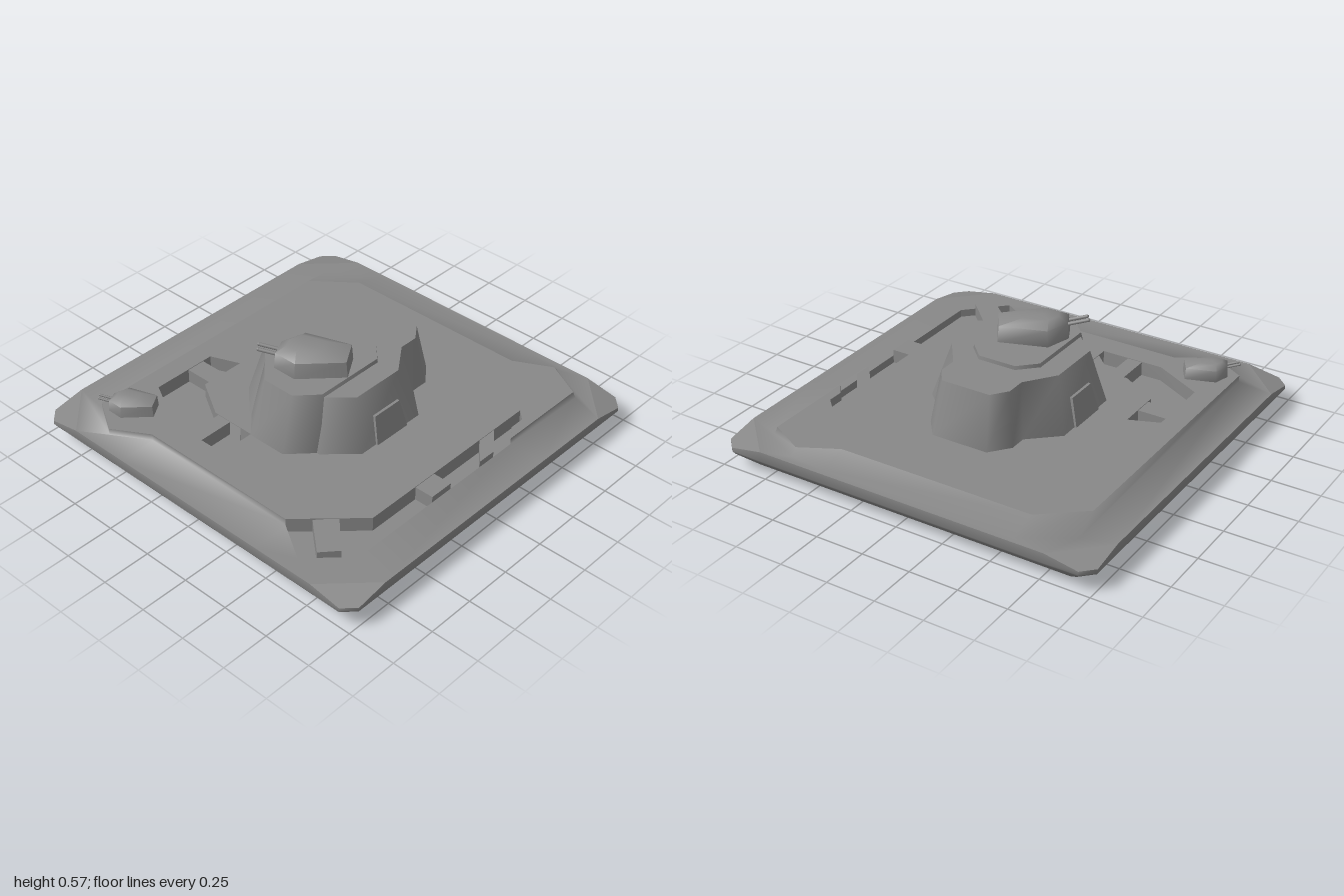
import * as THREE from 'three';
import { toCreasedNormals } from 'three/addons/utils/BufferGeometryUtils.js';

const grey = new THREE.MeshStandardMaterial({ color: 0x888888 });
const greyOpen = new THREE.MeshStandardMaterial({ color: 0x888888, side: THREE.DoubleSide });

const at = (pts, y) => pts.map(([x, z]) => [x, y, z]);
const flat = pts => pts.map(([x, , z]) => [x, z]);
const mirrorX = half => [...half, ...half.map(([x, z]) => [-x, z]).reverse()];

// Triangle soup to geometry, smooth below the crease angle
function solid(tris, crease) {
  const g = new THREE.BufferGeometry();
  g.setAttribute('position', new THREE.Float32BufferAttribute(tris.flat(), 3));
  return toCreasedNormals(g, THREE.MathUtils.degToRad(crease));
}

// Skin through matching [x, y, z] rings from low to high, optionally capped on top
function loft(rings, { top = true, crease = 35 } = {}) {
  const n = rings[0].length;
  let area = 0;
  rings[0].forEach(([x, , z], i) => {
    const b = rings[0][(i + 1) % n];
    area += b[0] * z - x * b[2];
  });
  const rs = area < 0 ? rings.map(r => [...r].reverse()) : rings;
  const tris = [];
  for (let k = 0; k + 1 < rs.length; k++) {
    for (let i = 0; i < n; i++) {
      const j = (i + 1) % n;
      tris.push(rs[k][i], rs[k][j], rs[k + 1][j], rs[k][i], rs[k + 1][j], rs[k + 1][i]);
    }
  }
  if (top) {
    const r = rs[rs.length - 1];
    const c = [0, 1, 2].map(a => r.reduce((s, p) => s + p[a], 0) / n);
    r.forEach((p, i) => tris.push(c, p, r[(i + 1) % n]));
  }
  return solid(tris, crease);
}

// Flat upward-facing sheet with holes, outline given as [x, z]
function sheet(outline, y, holes = []) {
  const v = pts => pts.map(([x, z]) => new THREE.Vector2(x, -z));
  const s = new THREE.Shape(v(outline));
  s.holes = holes.map(h => new THREE.Path(v(h)));
  return new THREE.ShapeGeometry(s).rotateX(-Math.PI / 2).translate(0, y, 0);
}

function add(parent, name, geo, mat = grey) {
  const m = new THREE.Mesh(geo, mat);
  m.name = name;
  parent.add(m);
}

// Faceted gun house with twin barrels, standing on its own origin
function gunTurret(name) {
  const g = new THREE.Group();
  g.name = name;
  const plan = [[-0.13, -0.07], [0.1, -0.15], [0.18, -0.025], [0.01, 0.15], [-0.12, 0.15], [-0.165, 0.06]];
  const scaled = (s, y, dx = 0, dz = 0) => at(plan.map(([x, z]) => [x * s + dx, z * s + dz]), y);
  add(g, 'gunHouse', loft([scaled(1.02, 0), scaled(0.98, 0.085), scaled(0.5, 0.114, -0.035, 0.02)], { crease: 62 }));
  for (const side of [-1, 1]) {
    const ox = side * 0.013, oz = side * 0.016;
    const path = new THREE.LineCurve3(
      new THREE.Vector3(-0.09 + ox, 0.052, 0.075 + oz),
      new THREE.Vector3(-0.215 + ox, 0.082, 0.16 + oz));
    add(g, 'barrel', new THREE.TubeGeometry(path, 1, 0.009, 8), greyOpen);
    add(g, 'muzzle', new THREE.SphereGeometry(0.0095, 8, 6).translate(-0.215 + ox, 0.082, 0.16 + oz));
  }
  return g;
}

export function createModel() {
  const model = new THREE.Group();
  model.name = 'bunkerBase';
  const floorY = 0.1, groundY = 0.14, deckY = 0.175;

  // Foundation slab: cut corners that dip below the straight edges
  const rim = [];
  for (const [sx, sz] of [[1, 1], [1, -1], [-1, -1], [-1, 1]]) {
    const c = [[0.77, 1, groundY], [0.94, 1, 0.11], [1, 0.94, 0.11], [1, 0.77, groundY]]
      .map(([x, z, y]) => [x * sx, y, z * sz]);
    rim.push(...(sx * sz > 0 ? c : c.reverse()));
  }
  const ring = (s, y) => rim.map(([x, , z]) => [x * s, y, z * s]);
  add(model, 'foundation', loft([ring(0.91, 0), ring(0.99, 0.075), ring(1, 0.09), rim],
    { top: false, crease: 50 }));
  add(model, 'underside', sheet(flat(ring(0.91, 0)), 0).rotateX(Math.PI));
  const corners = [];
  for (let k = 0; k < 16; k += 4) {
    const [a, b, c, d] = rim.slice(k, k + 4);
    corners.push(a, b, c, a, c, d);
  }
  add(model, 'slopedCorners', solid(corners, 20));

  // Outer ground and deck edge, per row: slab rim x z, edge foot x z, edge top x z, height
  const band = [
    [-1, 0.77, -0.81, 0.8, -0.81, 0.8, deckY],
    [-0.77, 1, -0.63, 0.91, -0.63, 0.91, deckY],
    [-0.45, 1, -0.45, 0.8, -0.45, 0.8, deckY],
    [0.43, 1, 0.43, 0.8, 0.43, 0.8, deckY],
    [0.43, 1, 0.43, 0.8, 0.43, 0.8, groundY],
    [0.77, 1, 0.62, 0.92, 0.62, 0.92, groundY],
    [1, 0.77, 0.81, 0.73, 0.81, 0.73, groundY],
    [1, -0.33, 0.81, -0.33, 0.81, -0.33, groundY],
    [1, -0.33, 0.81, -0.33, 0.81, -0.33, deckY],
    [1, -0.77, 0.82, -0.83, 0.81, -0.82, deckY],
    [0.77, -1, 0.62, -0.95, 0.62, -0.92, deckY],
    [0.43, -1, 0.43, -0.97, 0.43, -0.82, deckY],
    [-0.77, -1, -0.6, -0.97, -0.6, -0.82, deckY],
    [-1, -0.77, -0.84, -0.82, -0.81, -0.65, deckY],
  ];
  add(model, 'outerGround', loft([
    band.map(b => [b[0], groundY, b[1]]),
    band.map(b => [b[2], groundY, b[3]]),
    band.map(b => [b[4], b[6], b[5]]),
  ], { top: false, crease: 100 }));

  // Raised deck, cut by the front trench and bounded by the side trench
  const frontTrench = at([[-0.7, 0.18], [-0.55, 0.12], [-0.55, 0.36], [-0.35, 0.48],
    [-0.11, 0.48], [-0.11, 0.67], [-0.44, 0.67], [-0.7, 0.53]], deckY);
  const innerSide = [[0.43, 0.8], [0.71, 0.53], [0.71, -0.53], [0.76, -0.48], [0.76, -0.4], [0.81, -0.33]];
  const outerSide = [[0.81, -0.33], [0.81, 0.73], [0.62, 0.92], [0.43, 0.8]];
  const sideTrench = [...at(innerSide, deckY), ...at(outerSide, groundY)];
  const tops = band.map(b => [b[4], b[5]]);
  add(model, 'deck', sheet([...tops.slice(0, 3), ...innerSide, ...tops.slice(9)], deckY, [flat(frontTrench)]));
  for (const [name, edge] of [['frontTrench', frontTrench], ['sideTrench', sideTrench]]) {
    add(model, name + 'Walls', loft([at(flat(edge), floorY), edge], { top: false }), greyOpen);
    add(model, name + 'Floor', sheet(flat(edge), floorY));
  }

  // Bridges and braces spanning the trenches
  const rect = (x0, x1, z0, z1) => [[x0, z0], [x1, z0], [x1, z1], [x0, z1]];
  const spans = [
    rect(-0.7, -0.55, 0.23, 0.33),
    rect(-0.33, -0.25, 0.48, 0.67),
    [[-0.25, 0.48], [-0.18, 0.48], [-0.11, 0.55], [-0.11, 0.62]],
    rect(0.71, 0.81, 0.11, 0.24),
    [[0.71, -0.33], [0.81, -0.2], [0.81, -0.1], [0.71, -0.22]],
    [[0.6, 0.63], [0.75, 0.78], [0.68, 0.86], [0.52, 0.72]],
  ];
  for (const s of spans) add(model, 'trenchBridge', loft([at(s, floorY), at(s, deckY - 0.003)]));

  // Central tower: wide body with a narrower rear, and a taller front bastion
  const tower = new THREE.Group();
  tower.name = 'tower';
  model.add(tower);
  const bodyFoot = mirrorX([[0.15, -0.49], [0.23, -0.39], [0.23, -0.3], [0.375, -0.17], [0.375, 0.23], [0.23, 0.37]]);
  const bodyTop = mirrorX([[0.13, -0.43], [0.19, -0.35], [0.19, -0.25], [0.3, -0.1], [0.3, 0.19], [0.19, 0.29]]);
  add(tower, 'towerBody', loft([at(bodyFoot, deckY), at(bodyTop, 0.443)], { crease: 60 }));
  const bastionFoot = mirrorX([[0.1, -0.18], [0.23, -0.09], [0.23, 0.355], [0.105, 0.485]]);
  const bastionTop = mirrorX([[0.1, -0.165], [0.185, -0.08], [0.185, 0.3], [0.09, 0.4]]);
  add(tower, 'frontBastion', loft([at(bastionFoot, deckY), at(bastionTop, 0.463)], { crease: 60 }));

  // Door panels lying on the sloped flanks
  for (const s of [-1, 1]) {
    const panel = (x, z0, z1, y) => at(rect(s * 0.3, s * x, z0, z1), y);
    add(tower, 'doorPanel', loft([panel(0.386, -0.075, 0.135, deckY), panel(0.35, -0.055, 0.115, 0.315)]));
  }

  // Main turret on the tower, smaller twin on the front corner
  const main = gunTurret('mainTurret');
  main.position.set(0, 0.461, 0.15);
  const small = gunTurret('cornerTurret');
  small.position.set(-0.66, deckY, 0.72);
  small.scale.set(0.63, 0.69, 0.63);
  model.add(main, small);
  return model;
}
